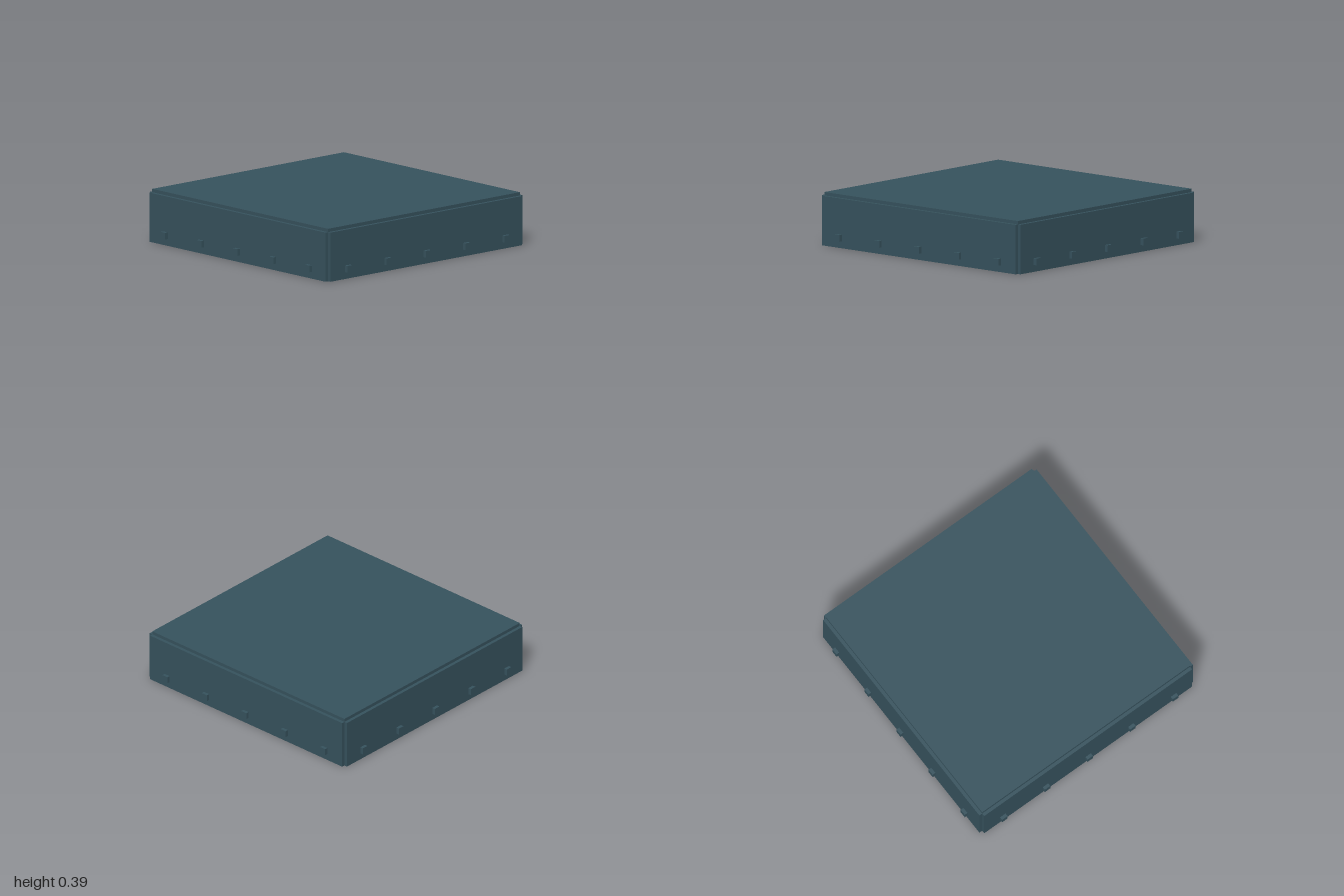
import * as THREE from 'three';

export function createModel() {
  const group = new THREE.Group();
  const slate = new THREE.MeshStandardMaterial({ color: 0x36525d });
  slate.name = 'slate';

  const addBox = (parent, name, w, h, d, x, y, z) => {
    const mesh = new THREE.Mesh(new THREE.BoxGeometry(w, h, d), slate);
    mesh.name = name;
    mesh.position.set(x, y, z);
    parent.add(mesh);
  };

  const half = 0.95, height = 0.392, panel = 0.025, panelHeight = 0.367;
  const pegSize = 0.05, pegSpacing = 0.39;

  // Solid square block
  addBox(group, 'core', half * 2, height, half * 2, 0, height / 2, 0);

  // Four identical sides, each a thin panel with a row of five pegs
  ['front', 'left', 'back', 'right'].forEach((name, i) => {
    const side = new THREE.Group();
    side.name = name + 'Side';
    side.rotation.y = i * Math.PI / 2;
    addBox(side, 'panel', half * 2, panelHeight, panel, 0, panelHeight / 2, half + panel / 2);
    for (let k = -2; k <= 2; k++) {
      addBox(side, 'peg', pegSize, pegSize, panel, k * pegSpacing, 0.076, half + panel * 1.5);
    }
    group.add(side);
  });

  return group;
}
